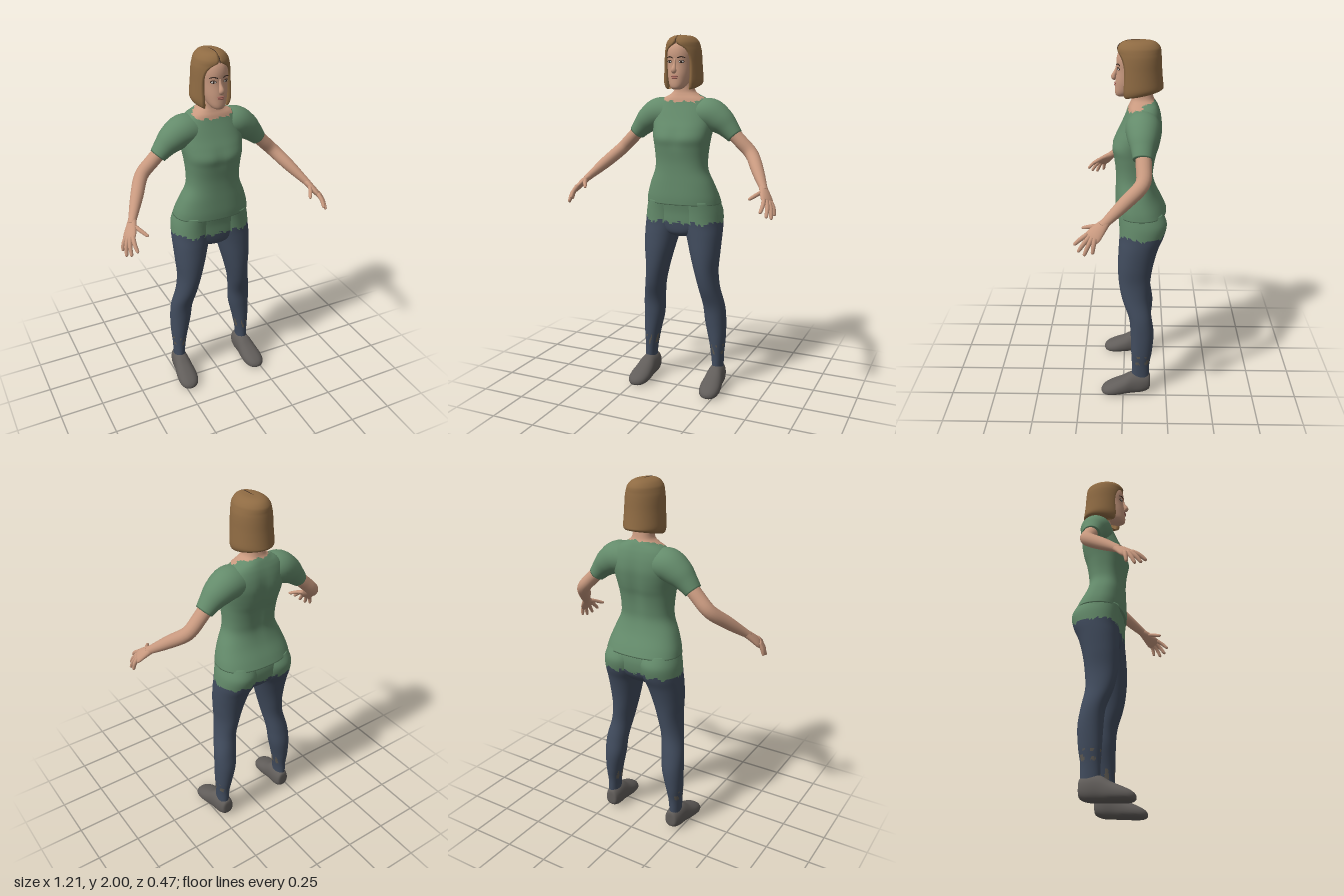
import * as THREE from 'three';

const material = (name, color) => Object.assign(new THREE.MeshStandardMaterial({ color }), { name });
const V = (x, y, z) => new THREE.Vector3(x, y, z);

// Smooth in-between rows of a table of numbers (Catmull-Rom per column)
function spline(rows, k) {
  const out = [], at = i => rows[Math.max(0, Math.min(rows.length - 1, i))];
  for (let i = 0; i < rows.length - 1; i++) for (let s = 0; s < k; s++) {
    const t = s / k;
    out.push(rows[i].map((b, c) => {
      const a = at(i - 1)[c], d = at(i + 1)[c], e = at(i + 2)[c];
      return b + 0.5 * t * (d - a + t * (2 * a - 5 * b + 4 * d - e + t * (3 * (b - d) + e - a)));
    }));
  }
  out.push(rows[rows.length - 1]);
  return out;
}

// Skin over closed rings of points, with end caps, always facing outwards
function loft(rings, caps = true) {
  const n = rings[0].length, pts = rings.flat(), idx = [];
  for (let i = 0; i < rings.length - 1; i++) for (let j = 0; j < n; j++) {
    const a = i * n + j, b = i * n + (j + 1) % n;
    idx.push(a, b, a + n, b, b + n, a + n);
  }
  if (caps) for (const i of [0, rings.length - 1]) {
    const c = pts.length;
    pts.push(rings[i].reduce((m, p) => m.add(p), V(0, 0, 0)).divideScalar(n));
    for (let j = 0; j < n; j++) {
      const a = i * n + j, b = i * n + (j + 1) % n;
      idx.push(c, ...(i ? [a, b] : [b, a]));
    }
  }
  let volume = 0;
  for (let i = 0; i < idx.length; i += 3)
    volume += pts[idx[i]].dot(V(0, 0, 0).crossVectors(pts[idx[i + 1]], pts[idx[i + 2]]));
  if (volume < 0) idx.reverse();
  const g = new THREE.BufferGeometry().setFromPoints(pts);
  g.setIndex(idx);
  g.computeVertexNormals();
  return g;
}

// Horizontal sections: [y, xMin, xMax, zBack, zFront]
function stack(rows, { k = 4, n = 48, e = 2.2, bend } = {}) {
  const pow = v => Math.sign(v) * Math.abs(v) ** (2 / e);
  return loft(spline(rows, k).map(([y, x0, x1, z0, z1]) => Array.from({ length: n }, (_, j) => {
    const t = j / n * Math.PI * 2;
    const p = V((x0 + x1) / 2 + (x1 - x0) / 2 * pow(Math.sin(t)), y, (z0 + z1) / 2 + (z1 - z0) / 2 * pow(Math.cos(t)));
    if (bend) bend(p);
    return p;
  })));
}
const wide = rows => rows.map(([y, w, z0, z1]) => [y, -w, w, z0, z1]);

// Rounded limb along points [x, y, z, radius along ref, radius across]
function limb(points, { ref = V(0, 0, 1), k = 5, n = 20 } = {}) {
  const rows = spline(points, k), pos = rows.map(r => V(r[0], r[1], r[2]));
  return loft(rows.map((r, i) => {
    const t = pos[Math.min(i + 1, pos.length - 1)].clone().sub(pos[Math.max(i - 1, 0)]).normalize();
    const u = ref.clone().addScaledVector(t, -ref.dot(t)).normalize(), v = u.clone().cross(t);
    return Array.from({ length: n }, (_, j) => {
      const a = j / n * Math.PI * 2;
      return pos[i].clone().addScaledVector(u, r[3] * Math.sin(a)).addScaledVector(v, r[4] * Math.cos(a));
    });
  }));
}

// Sort faces into two material groups by a rule on the face centre
function split(g, rule) {
  const p = g.attributes.position, idx = g.index.array, sets = [[], []];
  for (let i = 0; i < idx.length; i += 3) {
    const c = V(0, 0, 0);
    for (let j = 0; j < 3; j++) c.add(V(0, 0, 0).fromBufferAttribute(p, idx[i + j]));
    sets[rule(c.divideScalar(3)) ? 1 : 0].push(idx[i], idx[i + 1], idx[i + 2]);
  }
  g.setIndex(sets.flat());
  g.addGroup(0, sets[0].length, 0);
  g.addGroup(sets[0].length, sets[1].length, 1);
  return g;
}

function mirrored(g) {
  const m = g.clone().scale(-1, 1, 1), a = m.index.array;
  for (let i = 0; i < a.length; i += 3) [a[i], a[i + 1]] = [a[i + 1], a[i]];
  m.computeVertexNormals();
  return m;
}

export function createModel() {
  const root = new THREE.Group();
  root.name = 'standingWoman';
  const shirt = material('shirtGreen', 0x648b6b), denim = material('trouserBlue', 0x414c5e);
  const skin = material('skin', 0xc8997f), hair = material('hairBrown', 0x8f6b43);
  const shoe = material('shoeGrey', 0x615d5a), patch = material('anklePatch', 0x5f5b54);
  const dark = material('darkBrown', 0x3a2a22), white = material('eyeWhite', 0xc9c6c2), lip = material('lip', 0xa5675c);
  const add = (name, g, mat) => {
    const m = new THREE.Mesh(g, mat);
    m.name = name;
    root.add(m);
    return m;
  };
  const pair = (name, g, mat) => { add(name + 'Left', g, mat); add(name + 'Right', mirrored(g), mat); };
  const jag = p => 0.008 * Math.sin(p.x * 71 + p.z * 40) + 0.006 * Math.sin(p.x * 163 - p.z * 120);

  // Shirt body running up into the neck, with an uneven neckline
  const torso = stack(wide([
    [1.085, .216, -.235, .045], [1.13, .207, -.215, .047], [1.2, .183, -.18, .045], [1.27, .154, -.16, .043],
    [1.33, .149, -.163, .045], [1.4, .155, -.175, .055], [1.45, .162, -.19, .064], [1.5, .17, -.2, .045],
    [1.55, .175, -.205, .02], [1.6, .17, -.2, -.002], [1.64, .15, -.19, -.018], [1.665, .122, -.18, -.026],
    [1.685, .082, -.17, -.035], [1.71, .056, -.155, -.042], [1.77, .05, -.145, -.045]]), {
    k: 5, n: 64, e: 2.35,
    bend: p => { // spine groove and soft hollow between the breasts
      const mid = Math.exp(-((p.x / .035) ** 2)), back = p.z < -.1;
      p.z += mid * (back ? .014 : -.007) * Math.exp(-(((p.y - 1.45) / (back ? .15 : .05)) ** 2));
    } });
  add('shirtAndNeck', split(torso, p => p.y > 1.672 - (p.z + .09) * .36 + jag(p) * .5), [shirt, skin]);
  pair('sleeve', limb([[.08, 1.575, -.1, .085, .078], [.15, 1.58, -.1, .09, .087], [.215, 1.545, -.1, .078, .075],
    [.26, 1.505, -.1, .061, .058], [.297, 1.465, -.1, .05, .045]], { n: 32 }), shirt);

  // Hips and legs, green above the uneven waist edge
  const waist = p => p.y > .982 + jag(p);
  add('hips', split(stack(wide([[.897, .05, -.11, -.02], [.92, .12, -.165, .01], [.97, .2, -.208, .02],
    [1.04, .216, -.222, .024], [1.1, .208, -.215, .034]]), { k: 6, n: 64 }), waist), [denim, shirt]);
  const leg = stack([[.09, .182, .245, -.15, -.05], [.14, .182, .245, -.15, -.05], [.2, .175, .247, -.152, -.05],
    [.28, .16, .253, -.165, -.046], [.39, .135, .255, -.173, -.042], [.49, .125, .25, -.16, -.032],
    [.6, .108, .227, -.143, .006], [.7, .085, .217, -.15, .025], [.8, .058, .224, -.165, .03],
    [.9, .03, .229, -.192, .026], [.97, .006, .228, -.222, .022], [1.04, 0, .222, -.236, .024],
    [1.1, 0, .205, -.212, .03]], { k: 6, e: 2.1 });
  const ankle = p => Math.abs(p.y - .235) < .03 && Math.sin(p.x * 190 + p.y * 60) + Math.sin(p.z * 130) > .45;
  const lower = leg.clone();
  pair('leg', split(lower, waist), [denim, shirt]);
  // Faded ankle marks, a thin skin just outside the trouser leg
  const marks = leg.clone(), keep = [], src = leg.index.array, lp = leg.attributes.position, nrm = leg.attributes.normal;
  for (let i = 0; i < src.length; i += 3) {
    const c = V(0, 0, 0);
    for (let j = 0; j < 3; j++) c.addScaledVector(V(0, 0, 0).fromBufferAttribute(lp, src[i + j]), 1 / 3);
    if (ankle(c)) keep.push(src[i], src[i + 1], src[i + 2]);
  }
  marks.setIndex(keep);
  for (let i = 0; i < lp.count; i++)
    marks.attributes.position.setXYZ(i, lp.getX(i) + nrm.getX(i) * .001, lp.getY(i), lp.getZ(i) + nrm.getZ(i) * .001);
  pair('ankleMarks', marks, patch);

  // Shoes: sections along z as [z, half width, bottom, top]
  const shoeRows = spline([[-.157, .018, .05, .1], [-.15, .036, .025, .125], [-.11, .047, .008, .136], [-.05, .05, .004, .134],
    [0, .057, .002, .105], [.05, .06, 0, .082], [.09, .052, 0, .063], [.115, .034, .005, .046], [.126, .01, .015, .03]], 4);
  pair('shoe', loft(shoeRows.map(([z, w, b, t]) => Array.from({ length: 32 }, (_, j) => {
    const a = j / 32 * Math.PI * 2, s = Math.sin(a), c = Math.cos(a);
    return V(.218 + z * .06 + w * Math.sign(s) * Math.abs(s) ** .8 * (c > 0 ? 1 - .2 * c : 1), (b + t) / 2 + (t - b) / 2 * Math.sign(c) * Math.abs(c) ** .75, z);
  }))), shoe);

  // Arms and hands
  pair('arm', limb([[.265, 1.5, -.1, .04, .038], [.33, 1.435, -.105, .04, .037], [.395, 1.37, -.098, .038, .036],
    [.455, 1.298, -.015, .035, .033], [.515, 1.225, .075, .024, .021], [.53, 1.207, .095, .024, .018]]), skin);
  const across = V(-.4, .2, .9);
  pair('palm', limb([[.512, 1.228, .07, .021, .019], [.535, 1.198, .105, .034, .018], [.556, 1.168, .135, .042, .016],
    [.566, 1.15, .15, .036, .011]], { ref: across }), skin);
  const fingers = [[.548, 1.165, .175, .55, 1.117, .233], [.562, 1.155, .163, .577, 1.092, .212],
    [.572, 1.15, .148, .595, 1.08, .182], [.577, 1.15, .13, .6, 1.092, .14], [.522, 1.205, .11, .477, 1.176, .197]];
  fingers.forEach(([x, y, z, tx, ty, tz], i) => {
    const at = (t, r, lift = 0) => [x + (tx - x) * t + lift, y + (ty - y) * t + lift, z + (tz - z) * t, r, r];
    pair(i < 4 ? 'finger' + (i + 1) : 'thumb',
      limb([at(-.2, .012), at(.4, .011, .004), at(.85, .009), at(.97, .006), at(1, .002)], { ref: across, k: 3, n: 10 }), skin);
  });

  // Head with nose and ears of the face
  add('head', stack(wide([[1.714, .018, -.01, .03], [1.722, .032, -.035, .042], [1.74, .046, -.07, .046], [1.77, .058, -.11, .045],
    [1.8, .066, -.14, .043], [1.85, .073, -.16, .036], [1.9, .075, -.165, .038], [1.94, .068, -.155, .028],
    [1.965, .045, -.125, .004], [1.972, .015, -.08, -.04]]), { e: 2.15 }), skin);
  add('nose', limb([[0, 1.874, .032, .006, .007], [0, 1.845, .04, .008, .009], [0, 1.82, .052, .014, .013],
    [0, 1.809, .05, .014, .012], [0, 1.804, .042, .008, .006]], { ref: V(1, 0, 0) }), skin);
  const dot = (name, x, y, z, sx, sy, sz, mat) =>
    pair(name, new THREE.SphereGeometry(1, 16, 10).scale(sx, sy, sz).rotateY(x * 12).translate(x, y, z), mat);
  dot('eyeLine', .034, 1.861, .0268, .0165, .0085, .004, dark);
  dot('eyeWhite', .034, 1.86, .0285, .014, .0058, .004, white);
  dot('iris', .034, 1.86, .031, .0055, .0056, .003, dark);
  pair('eyebrow', limb([[.014, 1.88, .035, .004, .003], [.034, 1.886, .031, .004, .003], [.053, 1.88, .019, .002, .002]], { n: 8 }), dark);
  const mouth = new THREE.SphereGeometry(1, 20, 10);
  add('upperLip', mouth.clone().scale(.021, .005, .008).translate(0, 1.783, .042), lip);
  add('lowerLip', mouth.clone().scale(.018, .006, .008).translate(0, 1.774, .042), lip);

  // Bobbed hair: C-shaped sections [y, half width, half depth, z centre, half opening, inner scale, back lift]
  const hairRows = spline([[2.0, .012, .03, -.075, .001, .3, 0], [1.998, .04, .065, -.076, .001, .6, 0], [1.987, .065, .092, -.077, .001, .75, 0],
    [1.967, .083, .108, -.078, .002, .8, 0], [1.952, .089, .112, -.078, .012, .82, 0], [1.938, .093, .112, -.079, .036, .84, 0],
    [1.92, .097, .113, -.08, .055, .84, 0], [1.89, .1, .114, -.081, .068, .84, 0], [1.85, .102, .115, -.082, .074, .84, 0],
    [1.8, .105, .117, -.084, .075, .84, .03], [1.75, .107, .119, -.086, .073, .84, .1], [1.72, .101, .118, -.088, .07, .85, .18],
    [1.709, .092, .112, -.088, .066, .9, .2], [1.707, .084, .104, -.088, .06, .98, .2]], 3);
  add('hair', loft(hairRows.map(([y, w, d, zc, open, inner, lift]) => Array.from({ length: 80 }, (_, j) => {
    const outer = j < 40, a = Math.asin(Math.min(.95, Math.max(.01, open / w)));
    const t = a + (outer ? j : 79 - j) / 39 * (Math.PI * 2 - 2 * a), s = outer ? 1 : inner;
    const z = zc + d * s * Math.cos(t);
    return V(w * s * Math.sin(t), y + lift * Math.max(0, .02 - z), z);
  }))), hair).material.side = THREE.DoubleSide;
  add('hairParting', limb([[0, 1.953, .034, .002, .002], [0, 1.978, .024, .002, .002], [0, 1.996, -.01, .002, .002],
    [0, 2.0, -.05, .002, .002], [0, 1.999, -.1, .001, .001]], { ref: V(1, 0, 0), n: 8 }), dark);
  return root;
}
